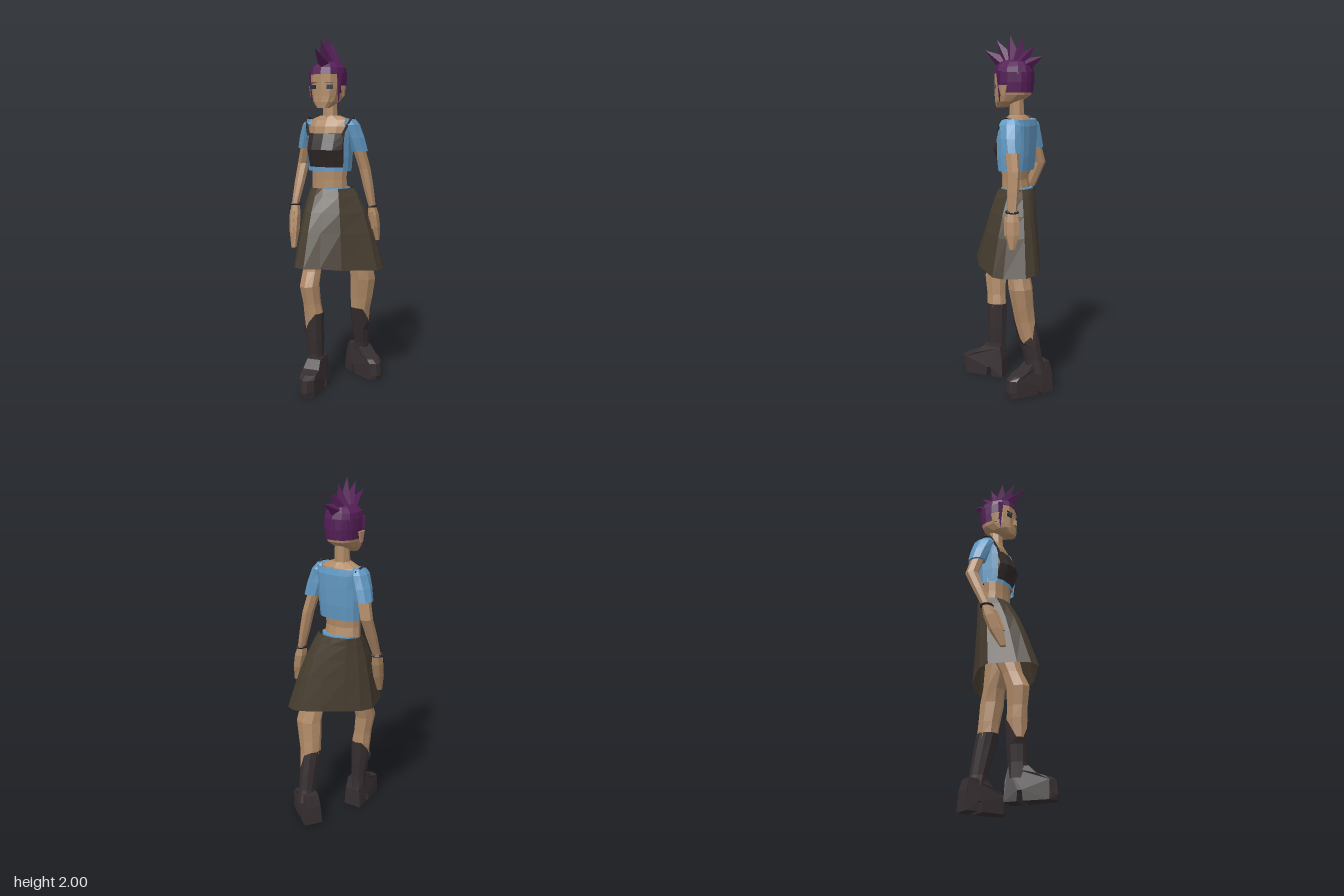
import * as THREE from 'three';

const CX = -0.033; // centre line of head and torso

const mat = (name, color, side = THREE.FrontSide) => {
  const m = new THREE.MeshStandardMaterial({ color, side });
  m.name = name;
  return m;
};

function flat(g) {
  const f = g.index ? g.toNonIndexed() : g;
  f.computeVertexNormals();
  return f;
}

// Faceted skin over rings of points, bottom to top
function skinRings(rings, { closed = true, caps = true } = {}) {
  const n = rings[0].length, idx = [];
  for (let k = 0; k < rings.length - 1; k++) {
    for (let i = 0; i < (closed ? n : n - 1); i++) {
      const a = k * n + i, b = k * n + (i + 1) % n;
      idx.push(a, b, b + n, a, b + n, a + n);
    }
  }
  if (caps && closed) {
    const top = (rings.length - 1) * n;
    for (let i = 1; i < n - 1; i++) idx.push(0, i + 1, i, top, top + i, top + i + 1);
  }
  const g = new THREE.BufferGeometry();
  g.setAttribute('position', new THREE.Float32BufferAttribute(rings.flat(2), 3));
  g.setIndex(idx);
  return flat(g);
}

// Oval cross-section [cx, y, cz, rx, rz]; e below 1 makes it boxier, t0 opens the front
function oval([cx, y, cz, rx, rz], n, e = 1, t0 = 0) {
  const pw = v => Math.sign(v) * Math.abs(v) ** e;
  return Array.from({ length: n }, (_, i) => {
    const t = t0 + (Math.PI * 2 - 2 * t0) * i / (t0 ? n - 1 : n);
    return [cx + rx * pw(Math.sin(t)), y, cz + rz * pw(Math.cos(t))];
  });
}
const loft = (secs, n, e, opt) => skinRings(secs.map(s => oval(s, n, e)), opt);

// Rows [y, cz, rx, rz] on the centre line
const body = rows => rows.map(r => [CX, ...r]);
const bodyLoft = (rows, e, opt) => loft(body(rows), 12, e, opt);
const openLoft = (rows, e, t0) =>
  skinRings(body(rows).map(s => oval(s, 12, e, t0)), { closed: false });

// Section a fraction f of the way from joint a to joint b
const along = (a, b, f, rx, rz) => [...a.map((v, i) => v + (b[i] - v) * f), rx, rz];

export function createModel() {
  const root = new THREE.Group();
  const skin = mat('skin', 0xb08a67);
  const blue = mat('blue cloth', 0x6299c3, THREE.DoubleSide);
  const brown = mat('skirt brown', 0x473d30, THREE.DoubleSide);
  const dark = mat('dark leather', 0x362e30, THREE.DoubleSide);
  const black = mat('black cloth', 0x332b2a, THREE.DoubleSide);
  const purple = mat('purple hair', 0x551e57, THREE.DoubleSide);
  const eyeCol = mat('eye', 0x26343c);
  const add = (name, geo, m) => {
    const mesh = new THREE.Mesh(geo, m);
    mesh.name = name;
    root.add(mesh);
    return mesh;
  };

  // Torso and neck
  add('torso', bodyLoft([
    [1.1, -0.045, 0.112, 0.08], [1.2, -0.035, 0.106, 0.068], [1.42, -0.04, 0.118, 0.08],
    [1.5, -0.052, 0.135, 0.078], [1.535, -0.055, 0.125, 0.06], [1.56, -0.048, 0.06, 0.045],
  ]), skin);
  add('neck', flat(new THREE.CylinderGeometry(0.04, 0.045, 0.12, 8)), skin).position.set(CX, 1.6, -0.044);

  // Bust band and shoulder straps
  add('bustBand', bodyLoft([
    [1.268, -0.035, 0.116, 0.077], [1.31, -0.028, 0.119, 0.086], [1.37, -0.02, 0.121, 0.104],
    [1.41, -0.027, 0.122, 0.094], [1.46, -0.04, 0.123, 0.086],
  ], 0.9), black);
  for (const s of [-1, 1]) {
    const path = new THREE.CatmullRomCurve3([
      new THREE.Vector3(CX + s * 0.105, 1.45, 0.025),
      new THREE.Vector3(CX + s * 0.14, 1.55, -0.03),
      new THREE.Vector3(CX + s * 0.128, 1.52, -0.11),
    ]);
    add('strap', flat(new THREE.TubeGeometry(path, 6, 0.008, 4)), black);
  }

  // Cropped shirt, open at the front above its hem
  add('shirt', openLoft([
    [1.25, -0.04, 0.126, 0.087], [1.33, -0.04, 0.131, 0.097], [1.43, -0.042, 0.134, 0.1],
    [1.5, -0.053, 0.142, 0.09], [1.535, -0.057, 0.142, 0.078],
  ], 0.72, 0.95), blue);
  add('shirtHem', bodyLoft([1.248, 1.272].map(y => [y, -0.038, 0.127, 0.085]),
    0.9, { caps: false }), blue);

  // Arm with sleeve, hand, thumb and bracelet, built from its joints
  function arm(side, shoulder, elbow, wrist, tip, bandX) {
    add(side + 'Arm', loft([
      along(wrist, elbow, 0, 0.02, 0.028), along(wrist, elbow, 0.5, 0.029, 0.035),
      along(elbow, shoulder, 0, 0.033, 0.038), along(elbow, shoulder, 0.5, 0.036, 0.041),
      along(elbow, shoulder, 0.85, 0.03, 0.04),
    ], 7), skin);
    add(side + 'Sleeve', loft([
      along(elbow, shoulder, 0.4, 0.05, 0.052), along(elbow, shoulder, 0.7, 0.052, 0.06),
      along(elbow, shoulder, 1, 0.042, 0.066), along(elbow, shoulder, 1.13, 0.022, 0.05),
    ], 8), blue);
    add(side + 'Hand', loft([
      along(tip, wrist, 0, 0.014, 0.018), along(tip, wrist, 0.4, 0.026, 0.042),
      along(tip, wrist, 0.75, 0.029, 0.043), along(tip, wrist, 1.05, 0.019, 0.027),
    ], 6), skin);
    const thumb = add(side + 'Thumb', loft([
      along(tip, wrist, 0.35, 0.01, 0.012), along(tip, wrist, 0.85, 0.014, 0.016),
    ], 5), skin);
    thumb.position.z = 0.035;
    const ring = new THREE.TorusGeometry(0.033, 0.007, 5, 10).rotateX(Math.PI / 2);
    const band = add(side + 'Bracelet', flat(ring), black);
    band.position.set(...wrist);
    band.scale.x = bandX;
  }
  arm('right', [-0.162, 1.51, -0.06], [-0.232, 1.28, -0.1], [-0.236, 1.05, 0], [-0.205, 0.805, 0.085], 1);
  arm('left', [0.095, 1.51, -0.06], [0.155, 1.26, -0.11], [0.197, 1.045, -0.122], [0.225, 0.845, -0.135], 0.75);

  // Briefs and flared skirt
  add('briefs', loft([[-0.02, 0.93, -0.045, 0.09, 0.08], [-0.025, 1.03, -0.05, 0.115, 0.088],
    [-0.026, 1.153, -0.05, 0.113, 0.086]], 10), blue);
  const hem = [[-0.07, 0.235], [0.01, 0.19], [0.115, 0.125], [0.265, -0.035], [0.275, -0.105],
    [0.23, -0.22], [0.17, -0.25], [0.115, -0.25], [0.01, -0.21], [-0.105, -0.13],
    [-0.18, -0.07], [-0.215, 0], [-0.17, 0.15], [-0.13, 0.215]];
  const levels = [[1, 1], [0.55, 0.66], [0.3, 0.43], [0.1, 0.17], [0, 0]]; // drop, flare
  add('skirt', skinRings(levels.map(([drop, flare]) => hem.map(([x, z]) => {
    const t = Math.atan2(x - 0.03, z);
    const tx = -0.025 + 0.132 * Math.sin(t), tz = -0.05 + 0.096 * Math.cos(t);
    const low = 0.717 - 0.11 * Math.max(0, x);
    return [tx + (x - tx) * flare, 1.15 + (low - 1.15) * drop, tz + (z - tz) * flare];
  })), { caps: false }), brown);

  // Side profile of a platform boot with a heel gap
  const footSide = new THREE.Shape([[-0.135, 0], [-0.065, 0], [-0.06, 0.055], [-0.037, 0.055],
    [-0.032, 0], [0.13, 0], [0.14, 0.03], [0.135, 0.1], [0.1, 0.12], [0.04, 0.135],
    [-0.005, 0.18], [-0.115, 0.18], [-0.13, 0.11]].map(p => new THREE.Vector2(...p)));

  // Leg with its boot; w is the knee half-width, dip the side where the shaft is cut low
  function leg(side, hip, knee, calf, ankle, w, dip, foot, turn) {
    const calfW = 0.042 + w * 0.24;
    add(side + 'Leg', loft([
      along(ankle, calf, 0, 0.04, 0.048), along(ankle, calf, 0.5, 0.048, 0.055),
      along(calf, knee, 0, calfW, 0.06), along(calf, knee, 0.4, w * 0.9, 0.06),
      along(knee, hip, 0, w, 0.068), along(knee, hip, 0.2, w, 0.06),
      along(knee, hip, 0.6, 0.07, 0.08), along(knee, hip, 1, 0.065, 0.075),
    ], 8), skin);
    const rings = [
      along(ankle, calf, -0.35, 0.048, 0.057), along(ankle, calf, 0, 0.045, 0.053),
      along(ankle, calf, 0.4, 0.052, 0.059), along(ankle, calf, 1.05, calfW + 0.003, 0.065),
    ].map(s => oval(s, 10));
    rings[3].forEach((q, i) => {
      q[1] -= 0.13 * Math.max(0, Math.cos(i / 10 * Math.PI * 2 - dip)) ** 2;
    });
    add(side + 'BootShaft', skinRings(rings, { caps: false }), dark);

    // Foot: slim at the ankle, rounded off at the toe corners
    const g = new THREE.ExtrudeGeometry(footSide, { depth: 0.11, steps: 3, bevelEnabled: false });
    g.translate(0, 0, -0.055).rotateY(-Math.PI / 2);
    const p = g.attributes.position;
    for (let i = 0; i < p.count; i++) {
      const x = p.getX(i), y = p.getY(i), z = p.getZ(i);
      const toe = Math.max(0, (z - 0.06) / 0.08);
      const width = y > 0.15 ? 0.72 : y > 0.105 ? 0.86 : 1;
      p.setX(i, x * width * (1 - 0.22 * toe * toe));
      p.setZ(i, z - toe * Math.max(0, Math.abs(x) - 0.02) * 0.9);
    }
    const mesh = add(side + 'BootFoot', flat(g), dark);
    mesh.position.set(...foot);
    mesh.rotation.y = turn;
  }
  leg('right', [-0.085, 1.02, -0.04], [-0.088, 0.6, 0.118], [-0.07, 0.43, 0.102],
    [-0.058, 0.2, 0.098], 0.055, -0.93, [-0.04, 0, 0.17], 0.08);
  leg('left', [0.085, 1.02, -0.06], [0.133, 0.61, -0.145], [0.111, 0.42, -0.163],
    [0.102, 0.2, -0.212], 0.078, 1.99, [0.131, 0, -0.193], 1);

  // Head and face
  add('head', bodyLoft([[1.602, 0.05, 0.033, 0.028], [1.635, 0.008, 0.066, 0.073],
    [1.67, -0.02, 0.08, 0.1], [1.72, -0.025, 0.088, 0.105], [1.79, -0.026, 0.09, 0.105],
    [1.83, -0.028, 0.075, 0.088]], 0.75), skin);
  add('nose', flat(new THREE.ConeGeometry(0.02, 0.065, 4)), skin).position.set(CX, 1.7, 0.078);
  for (const s of [-1, 1]) {
    const eye = add('eye', new THREE.BoxGeometry(0.036, 0.022, 0.008), eyeCol);
    eye.position.set(CX + s * 0.05, 1.718, 0.069);
    eye.rotation.y = s * 0.35;
    const brow = add('eyebrow', new THREE.BoxGeometry(0.046, 0.004, 0.008), black);
    brow.position.set(CX + s * 0.047, 1.74, 0.07);
    brow.rotation.y = s * 0.3;
    const ear = add('ear', flat(new THREE.CylinderGeometry(0.03, 0.014, 0.06, 5)), skin);
    ear.position.set(CX + s * 0.098, 1.695, -0.005);
    ear.scale.x = 0.4;
    // Tapered lock in front of the ear
    const lock = add('sideLock', flat(new THREE.ConeGeometry(0.02, 0.18, 4).rotateX(Math.PI)), purple);
    lock.position.set(CX + s * 0.083, 1.71, 0.024);
  }

  // Short hair around the back and over the crown
  add('backHair', openLoft([[1.685, -0.026, 0.089, 0.108], [1.74, -0.027, 0.094, 0.113],
    [1.795, -0.027, 0.095, 0.113]], 0.85, 1.25), purple);
  add('hairCap', bodyLoft([[1.787, -0.027, 0.095, 0.112], [1.825, -0.027, 0.088, 0.102],
    [1.852, -0.028, 0.058, 0.075], [1.864, -0.028, 0.03, 0.04]], 0.8), purple);

  // Mohawk: a fan of spikes from front to back, given by their reach
  [0.22, 0.204, 0.202, 0.182, 0.175, 0.188].forEach((reach, i) => {
    const geo = new THREE.ConeGeometry(0.056, reach - 0.04, 4);
    geo.translate(0, (reach + 0.04) / 2, 0).scale(0.85, 1, 1);
    const spike = add('mohawkSpike', flat(geo), purple);
    spike.position.set(CX, 1.8, -0.03);
    spike.rotation.x = THREE.MathUtils.degToRad(57 - 24.4 * i);
  });
  return root;
}
